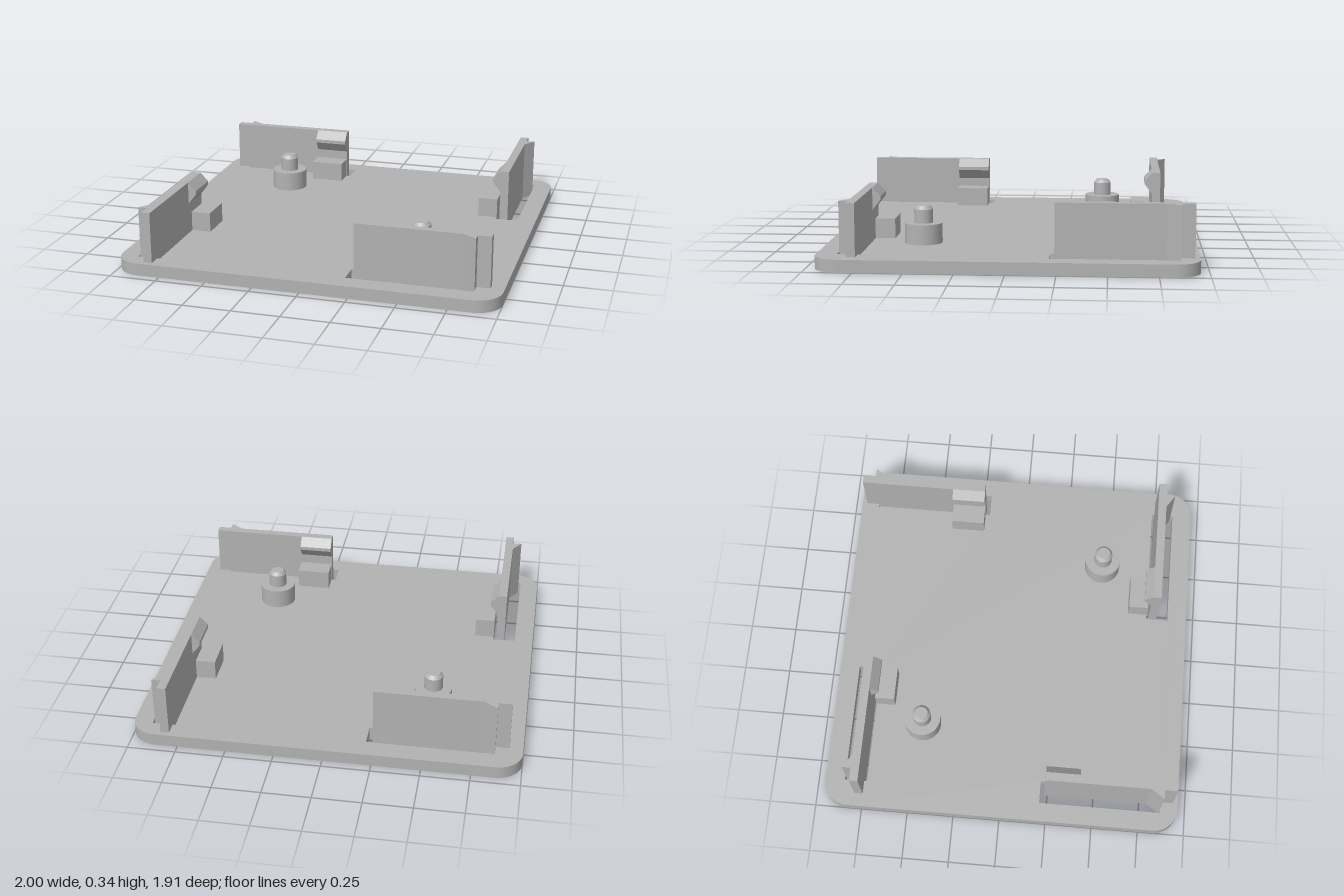
import * as THREE from 'three';

const PLATE_TOP = 0.065, WALL_TOP = 0.335;
const HALF_X = 1, HALF_Z = 0.956, CORNER = 0.13;

// Quarter turns of the clip; the offset is the distance of the wall's inner face from the centre
const CLIPS = [
  { name: 'frontClip', turn: 0, offset: 0.745 },
  { name: 'rightClip', turn: 1, offset: 0.795 },
  { name: 'backClip', turn: 2, offset: 0.745 },
  { name: 'leftClip', turn: 3, offset: 0.795 },
];

const outline = (points) => points.map(([x, z]) => new THREE.Vector2(x, z));

// Extrude an (x, z) plan shape upwards from y0 to y1
function slab(shape, y0, y1) {
  const geometry = new THREE.ExtrudeGeometry(shape, { depth: y1 - y0, bevelEnabled: false, curveSegments: 12 });
  return geometry.rotateX(Math.PI / 2).translate(0, y1, 0);
}

function turnPoint([u, v], turn) {
  for (let i = 0; i < turn; i++) [u, v] = [-v, u];
  return [u, v];
}

function roundedPlan() {
  const s = new THREE.Shape(), x = HALF_X, z = HALF_Z, r = CORNER;
  s.moveTo(-x + r, -z);
  s.lineTo(x - r, -z);
  s.absarc(x - r, -z + r, r, -Math.PI / 2, 0);
  s.lineTo(x, z - r);
  s.absarc(x - r, z - r, r, 0, Math.PI / 2);
  s.lineTo(-x + r, z);
  s.absarc(-x + r, z - r, r, Math.PI / 2, Math.PI);
  s.lineTo(-x, -z + r);
  s.absarc(-x + r, -z + r, r, Math.PI, Math.PI * 1.5);
  return s;
}

export function createModel() {
  const model = new THREE.Group();
  model.name = 'clipCover';
  const grey = new THREE.MeshStandardMaterial({ color: 0xb2b2b2 });
  grey.name = 'plainGrey';

  const add = (parent, name, geometry) => {
    const mesh = new THREE.Mesh(geometry, grey);
    mesh.name = name;
    parent.add(mesh);
    return mesh;
  };

  // Base plate with a slot for each clip
  const plan = roundedPlan();
  for (const { turn, offset } of CLIPS) {
    const corners = [[0.21, -0.015], [0.21, 0.105], [0.86, 0.105], [0.86, -0.015]];
    plan.holes.push(new THREE.Path(outline(corners.map(([u, v]) => turnPoint([u, v + offset], turn)))));
  }
  add(model, 'basePlate', slab(plan, 0, PLATE_TOP));

  // Clip wall with an outer wedge and an end tab
  const wallPlan = new THREE.Shape(outline([
    [0.235, 0], [0.93, 0], [0.93, 0.045], [0.86, 0.045], [0.86, 0.092], [0.79, 0.045], [0.235, 0.045],
  ]));
  const wallGeometry = slab(wallPlan, 0, WALL_TOP);

  // Snap hook near the top of the wall, pointing inwards
  const hookProfile = new THREE.Shape(outline([
    [0, 0.215], [0.043, 0.27], [0.043, 0.29], [0, WALL_TOP],
  ]));
  const hookGeometry = new THREE.ExtrudeGeometry(hookProfile, { depth: 0.182, bevelEnabled: false })
    .rotateY(Math.PI / 2).translate(0.235, 0, 0);

  // Stop block on the plate below the hook
  const blockGeometry = new THREE.BoxGeometry(0.182, 0.105, 0.105).translate(0.326, 0.1175, -0.0675);

  for (const { name, turn, offset } of CLIPS) {
    const clip = new THREE.Group();
    clip.name = name;
    clip.rotation.y = -turn * Math.PI / 2;
    const [x, z] = turnPoint([0, offset], turn);
    clip.position.set(x, 0, z);
    add(clip, 'clipWall', wallGeometry);
    add(clip, 'snapHook', hookGeometry);
    add(clip, 'stopBlock', blockGeometry);
    model.add(clip);
  }

  // Two stepped locating posts with chamfered pins
  for (const side of [1, -1]) {
    const post = new THREE.Group();
    post.name = side > 0 ? 'frontPost' : 'backPost';
    post.position.set(side * 0.508, 0, side * 0.46);
    add(post, 'postBase', new THREE.CylinderGeometry(0.098, 0.098, 0.105, 40).translate(0, 0.1175, 0));
    add(post, 'postPin', new THREE.CylinderGeometry(0.049, 0.049, 0.072, 32, 1, true).translate(0, 0.206, 0));
    add(post, 'pinTip', new THREE.CylinderGeometry(0.034, 0.049, 0.018, 32).translate(0, 0.251, 0));
    model.add(post);
  }

  return model;
}
